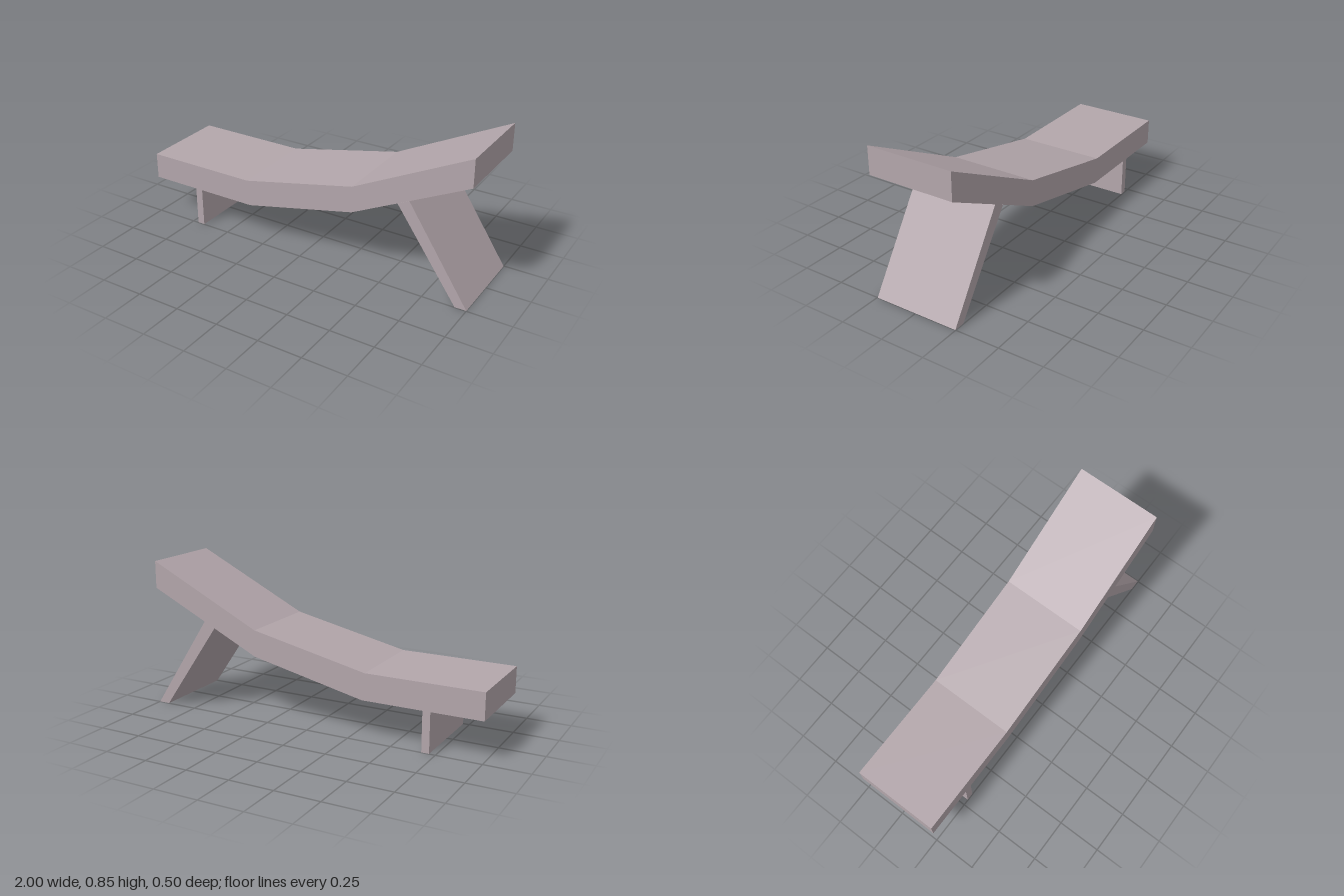
import * as THREE from 'three';

const DEPTH = 0.495;

export function createModel() {
  const model = new THREE.Group();
  model.name = 'lounger';
  const mauveGrey = new THREE.MeshStandardMaterial({ color: 0xb3a6ab });
  mauveGrey.name = 'mauveGrey';

  // Extrude a side profile across the full width of the lounger
  const addPart = (name, points) => {
    const shape = new THREE.Shape(points.map(([x, y]) => new THREE.Vector2(x, y)));
    const geometry = new THREE.ExtrudeGeometry(shape, { depth: DEPTH, bevelEnabled: false });
    geometry.translate(0, 0, -DEPTH / 2);
    const mesh = new THREE.Mesh(geometry, mauveGrey);
    mesh.name = name;
    model.add(mesh);
  };

  // Bent slab: flat foot end, gentle seat slope, steeper backrest
  addPart('deck', [
    [-1, 0.225], [-0.33, 0.225], [0.325, 0.37], [0.985, 0.69],
    [0.985, 0.845], [0.325, 0.52], [-0.345, 0.375], [-1, 0.375],
  ]);

  // Upright panel under the foot end
  addPart('footLeg', [[-0.715, 0], [-0.672, 0], [-0.672, 0.225], [-0.715, 0.225]]);

  // Slanted panel propping the backrest
  addPart('backLeg', [[0.935, 0], [1, 0], [0.655, 0.53], [0.59, 0.498]]);

  return model;
}
